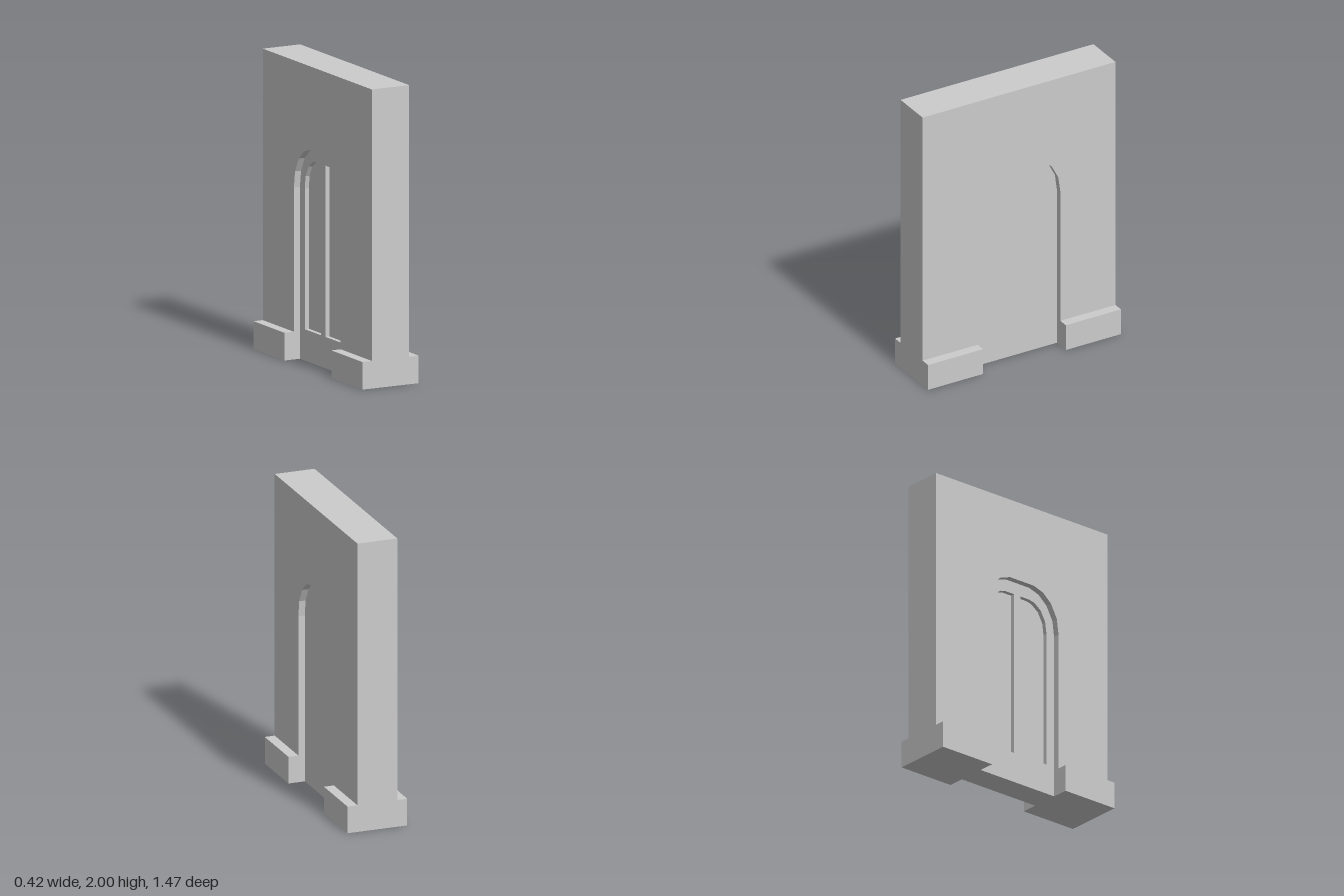
import * as THREE from 'three';

const material = new THREE.MeshStandardMaterial({ color: 0xcccccc, flatShading: true });
const WALL_X = 0.14, HALF_Z = 0.735, HEIGHT = 2;
const PLINTH_X = 0.21, PLINTH_H = 0.185, DOOR_Z = 0.315;
const PANEL_X = 0.095, PANE_X = 0.065;

// Right half of the faceted arch as [z, y], from the springing up to the flat crown
const ARCH = [[DOOR_Z, 1.15], [0.3, 1.26], [0.25, 1.355], [0.18, 1.415], [0.1, 1.44]];
const PANE = [[0.028, 0.21], [0.25, 0.21], [0.25, 1.15], [0.238, 1.235],
  [0.2, 1.305], [0.145, 1.345], [0.1, 1.355], [0.028, 1.355]];

const mirror = (points) => points.map(([z, y]) => [-z, y]).reverse();
const toVectors = (points) => points.map(([z, y]) => new THREE.Vector2(z, y));

// Extrude a z-y outline across the thickness, between two x positions
function slab(name, outline, xMin, xMax, holes = []) {
  const shape = new THREE.Shape(toVectors(outline));
  for (const hole of holes) shape.holes.push(new THREE.Path(toVectors(hole)));
  const geometry = new THREE.ExtrudeGeometry(shape, { depth: xMax - xMin, bevelEnabled: false });
  geometry.rotateY(-Math.PI / 2).translate(xMax, 0, 0);
  const mesh = new THREE.Mesh(geometry, material);
  mesh.name = name;
  return mesh;
}

export function createModel() {
  const model = new THREE.Group();
  model.name = 'archedDoorWall';
  const arch = [...ARCH, ...mirror(ARCH)];

  // Wall resting on the plinths, with the arched opening cut out of it
  model.add(slab('wall', [
    [-HALF_Z, PLINTH_H], [-DOOR_Z, PLINTH_H], ...[...arch].reverse(),
    [DOOR_Z, PLINTH_H], [HALF_Z, PLINTH_H], [HALF_Z, HEIGHT], [-HALF_Z, HEIGHT],
  ], -WALL_X, WALL_X));

  // Door set back in the opening: plain on one side, framed on the other
  const door = [[-DOOR_Z, 0], [DOOR_Z, 0], ...arch];
  model.add(slab('doorPanel', door, -PANE_X, PANEL_X));
  model.add(slab('doorFrame', door, -PANEL_X, -PANE_X, [PANE, mirror(PANE)]));

  // Projecting plinth under each pier
  for (const side of [-1, 1]) {
    const plinth = new THREE.Mesh(
      new THREE.BoxGeometry(PLINTH_X * 2, PLINTH_H, HALF_Z - DOOR_Z), material);
    plinth.position.set(0, PLINTH_H / 2, side * (HALF_Z + DOOR_Z) / 2);
    plinth.name = side > 0 ? 'frontPlinth' : 'backPlinth';
    model.add(plinth);
  }
  return model;
}
